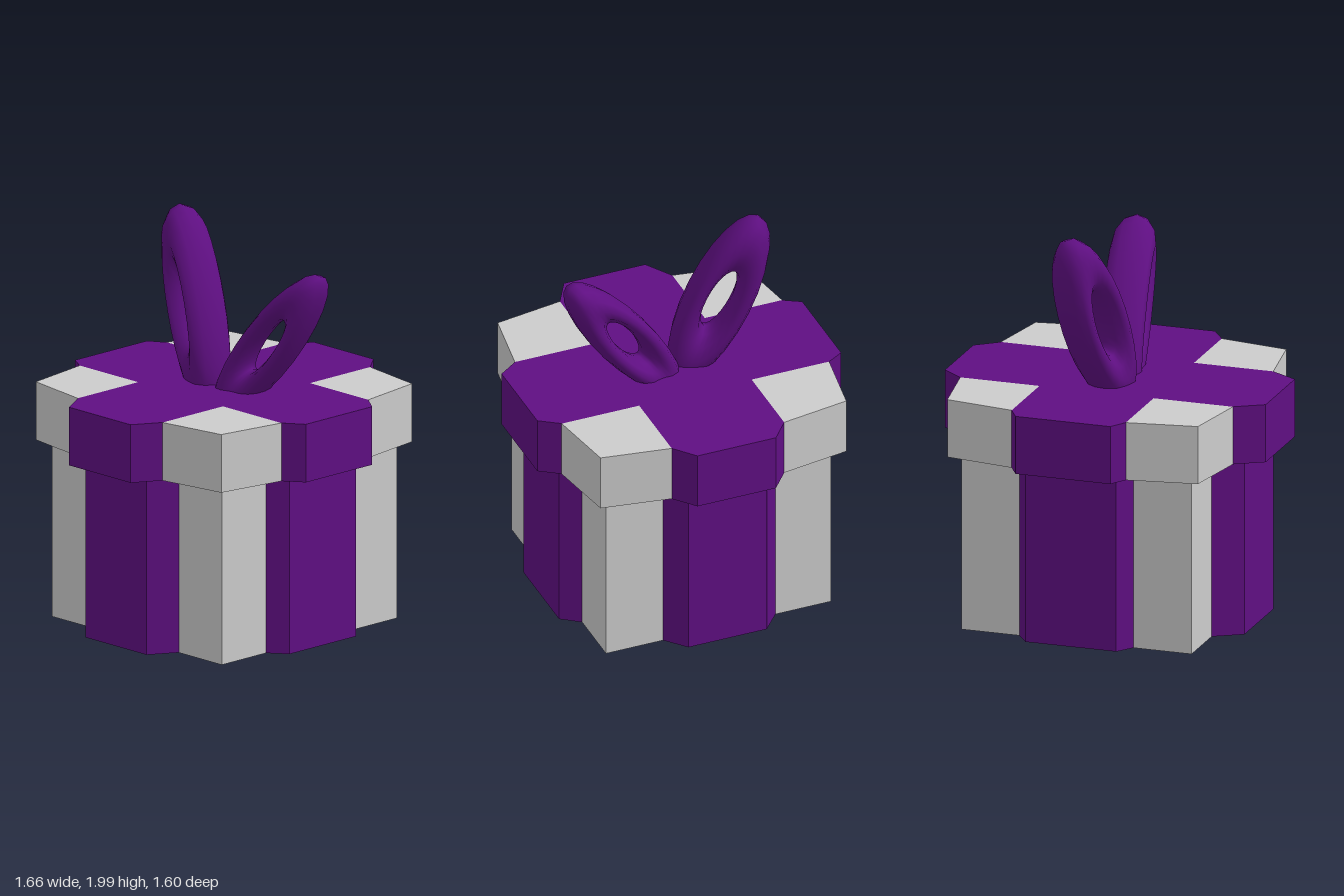
import * as THREE from 'three';

const ribbon = new THREE.MeshStandardMaterial({ color: 0x5f0f82, flatShading: true });
const ribbonSmooth = new THREE.MeshStandardMaterial({ color: 0x5f0f82 });
const paper = new THREE.MeshStandardMaterial({ color: 0xcccccc, flatShading: true });

// Upright prism from a plan outline of [x, z] points
function prism(name, points, y0, y1, material) {
  const shape = new THREE.Shape(points.map(([x, z]) => new THREE.Vector2(x, -z)));
  const geometry = new THREE.ExtrudeGeometry(shape, { depth: y1 - y0, bevelEnabled: false });
  geometry.rotateX(-Math.PI / 2);
  geometry.translate(0, y0, 0);
  const mesh = new THREE.Mesh(geometry, material);
  mesh.name = name;
  return mesh;
}

// Ribbon cross with chamfered arm ends, and four paper corners between the arms
function wrappedTier(name, y0, y1, p) {
  const group = new THREE.Group();
  group.name = name;
  const [xl, xr, zb, zf] = [-0.28, 0.31, -0.305, 0.29]; // ribbon edges
  group.add(prism(name + 'Ribbon', [
    [xl, p.front], [-0.21, p.zMax], [0.24, p.zMax], [xr, p.front], [xr, zf],
    [p.right, zf], [p.xMax, 0.2], [p.xMax, -0.215], [p.right, zb], [xr, zb],
    [xr, p.back], [p.backChamfer[1], p.zMin], [p.backChamfer[0], p.zMin], [xl, p.back], [xl, zb],
    [p.left, zb], [p.xMin, -0.22], [p.xMin, 0.21], [p.left, zf], [xl, zf],
  ], y0, y1, ribbon));
  for (const [x, armX, sx] of [[xl, p.left, -1], [xr, p.right, 1]]) {
    for (const [z, armZ, sz] of [[zb, p.back, -1], [zf, p.front, 1]]) {
      const outer = [armX - sx * p.inset, armZ - sz * p.inset];
      group.add(prism(name + 'Corner', [[x, z], [armX, z], outer, [x, armZ]], y0, y1, paper));
    }
  }
  return group;
}

// Stretched ring standing in a vertical plane; heading is its lean direction in plan
function bowLoop(name, centre, heading, lean, halfWidth, halfLength, halfThickness) {
  const ratio = 0.48, ring = 1 / (1 + ratio), tube = ratio / (1 + ratio);
  const d = new THREE.Vector3(heading[0], 0, heading[1]).normalize();
  const up = new THREE.Vector3(0, 1, 0);
  const s = Math.sin(lean), c = Math.cos(lean);
  const across = d.clone().multiplyScalar(c).addScaledVector(up, -s);
  const along = d.clone().multiplyScalar(s).addScaledVector(up, c);
  const normal = across.clone().cross(along);
  const geometry = new THREE.TorusGeometry(ring, tube, 12, 24);
  geometry.scale(halfWidth, halfLength, halfThickness / tube);
  geometry.applyMatrix4(new THREE.Matrix4().makeBasis(across, along, normal));
  const mesh = new THREE.Mesh(geometry, ribbonSmooth);
  mesh.position.set(...centre);
  mesh.name = name;
  return mesh;
}

export function createModel() {
  const model = new THREE.Group();
  model.name = 'giftBox';

  model.add(wrappedTier('box', 0, 0.895, {
    left: -0.58, right: 0.61, back: -0.6, front: 0.592, inset: 0,
    xMin: -0.72, xMax: 0.715, zMin: -0.685, zMax: 0.685, backChamfer: [-0.22, 0.25],
  }));
  model.add(wrappedTier('lid', 0.895, 1.19, {
    left: -0.69, right: 0.72, back: -0.715, front: 0.7, inset: 0.057,
    xMin: -0.83, xMax: 0.83, zMin: -0.8, zMax: 0.8, backChamfer: [-0.23, 0.26],
  }));

  // Two ribbon loops rising from the middle of the lid
  const bow = new THREE.Group();
  bow.name = 'bow';
  bow.add(bowLoop('backLoop', [0.05, 1.53, -0.24], [0.35, -0.94], 0.41, 0.165, 0.505, 0.108));
  bow.add(bowLoop('frontLoop', [0.06, 1.43, 0.272], [0.175, 0.985], 0.66, 0.135, 0.5, 0.11));
  model.add(bow);
  return model;
}
